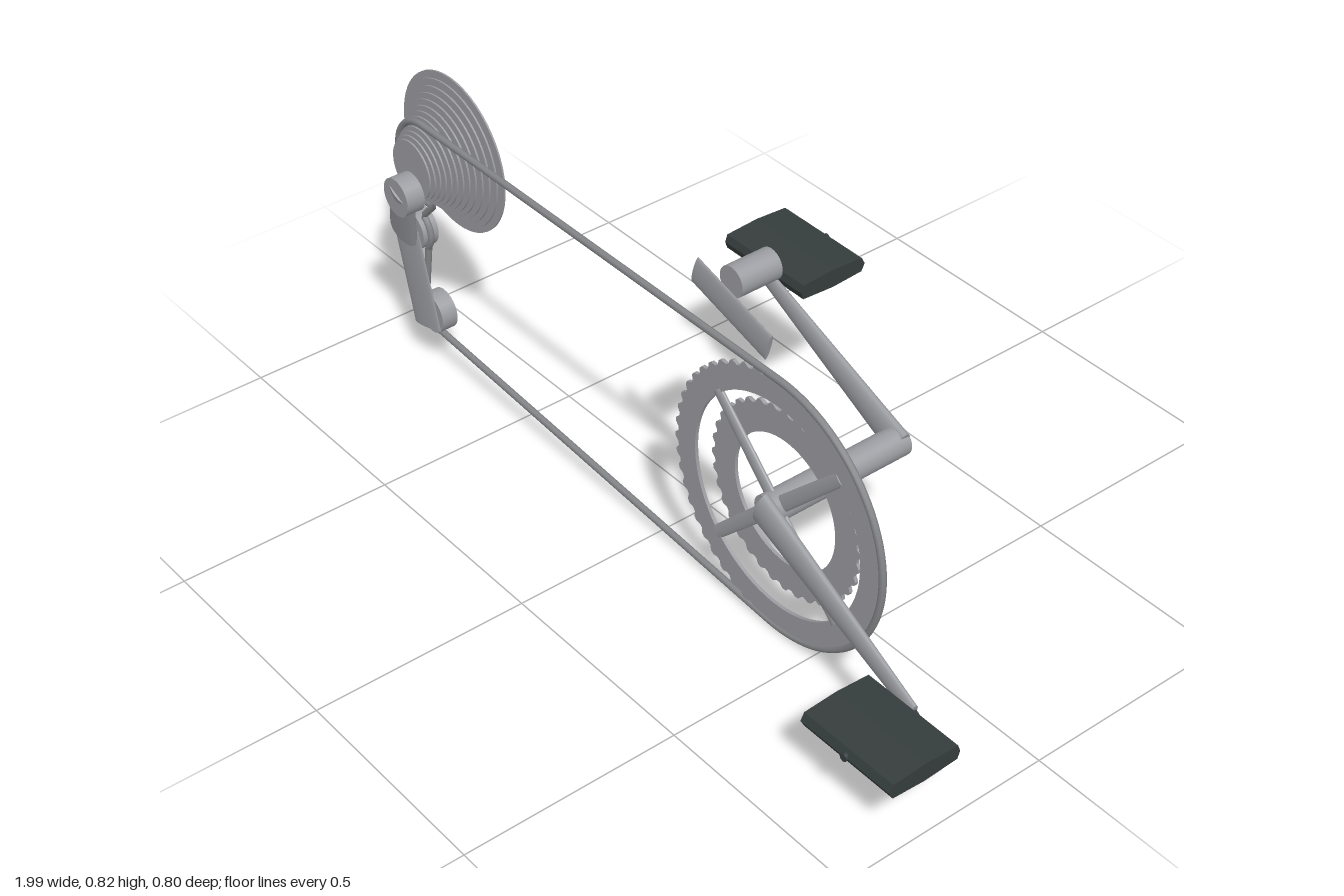
import * as THREE from 'three';

const steel = new THREE.MeshStandardMaterial({ name: 'steel grey', color: 0x9b9ca1 });
const chainGrey = new THREE.MeshStandardMaterial({ name: 'chain grey', color: 0x858689 });
const rubber = new THREE.MeshStandardMaterial({ name: 'pedal dark', color: 0x353d3c });

const V = (x, y, z) => new THREE.Vector3(x, y, z);
const RING = { x: 0.385, y: 0.32 };
const COG = { x: -0.805, y: 0.53 };
const CHAIN_Z = 0.145;

function add(parent, name, geometry, material) {
  const mesh = new THREE.Mesh(geometry, material);
  mesh.name = name;
  parent.add(mesh);
  return mesh;
}

// Tapered bar with an oval section from a to b; depth is its thickness ratio
function bar(parent, name, a, b, ra, rb, depth, material = steel) {
  const dir = b.clone().sub(a);
  const geo = new THREE.CylinderGeometry(rb, ra, dir.length(), 24);
  geo.scale(1, 1, depth);
  dir.normalize();
  const side = V(dir.y, -dir.x, 0).normalize();
  const m = new THREE.Matrix4().makeBasis(side, dir, side.clone().cross(dir));
  m.setPosition(a.clone().add(b).multiplyScalar(0.5));
  return add(parent, name, geo.applyMatrix4(m), material);
}

// Round part whose axis runs along z
function disc(parent, name, x, y, z0, z1, r, segments = 40) {
  const geo = new THREE.CylinderGeometry(r, r, z1 - z0, segments);
  geo.rotateX(Math.PI / 2).translate(x, y, (z0 + z1) / 2);
  return add(parent, name, geo, steel);
}

// Toothed ring with an open centre
function chainring(parent, name, z, outer, inner, teeth) {
  const shape = new THREE.Shape();
  const n = teeth * 4;
  for (let i = 0; i < n; i++) {
    const a = (i / n) * Math.PI * 2;
    const r = i % 4 < 2 ? outer : outer - 0.009;
    shape[i ? 'lineTo' : 'moveTo'](Math.cos(a) * r, Math.sin(a) * r);
  }
  shape.closePath();
  shape.holes.push(new THREE.Path().absarc(0, 0, inner, 0, Math.PI * 2, true));
  const geo = new THREE.ExtrudeGeometry(shape, { depth: 0.008, bevelEnabled: false, curveSegments: 48 });
  geo.translate(RING.x, RING.y, z - 0.004);
  add(parent, name, geo, steel);
}

// Chain loop: arcs around the wheels joined by straight runs
function chain(parent) {
  const pts = [];
  const arc = (x, y, r, from, to, n) => {
    for (let i = 0; i <= n; i++) {
      const a = THREE.MathUtils.degToRad(from + ((to - from) * i) / n);
      pts.push(V(x + Math.cos(a) * r, y + Math.sin(a) * r, CHAIN_Z));
    }
  };
  arc(RING.x, RING.y, 0.31, -94, 90, 48);
  arc(COG.x, COG.y, 0.1, 90, 285, 24);
  arc(-0.85, 0.342, 0.05, 60, -40, 10);
  arc(-0.795, 0.143, 0.05, 140, 266, 12);
  const path = new THREE.CurvePath();
  pts.forEach((p, i) => path.add(new THREE.LineCurve3(p, pts[(i + 1) % pts.length])));
  add(parent, 'chain', new THREE.TubeGeometry(path, 360, 0.008, 8, true), chainGrey);
}

// Pedal: a flat pad, thicker in the middle, with wedge ends
function pedal(parent, name, x, y, z) {
  const shape = new THREE.Shape([
    [-0.088, 0], [-0.082, 0.017], [0, 0.022], [0.08, 0.017], [0.089, 0],
    [0.08, -0.017], [0, -0.022], [-0.082, -0.017],
  ].map(([u, v]) => new THREE.Vector2(u, v)));
  const geo = new THREE.ExtrudeGeometry(shape, { depth: 0.248, bevelEnabled: false });
  geo.translate(0, 0, -0.124).rotateY(z > 0 ? -Math.PI / 2 : Math.PI / 2).translate(x, y, z);
  add(parent, name, geo, rubber);
  const tip = new THREE.CylinderGeometry(0.009, 0.009, 0.185, 12);
  tip.rotateX(Math.PI / 2).translate(x, y, z + Math.sign(z) * 0.0);
  add(parent, name + 'Spindle', tip, rubber);
}

export function createModel() {
  const model = new THREE.Group();
  model.name = 'drivetrain';

  // Cassette: a stack of shrinking sprockets
  const cassette = new THREE.Group();
  cassette.name = 'cassette';
  model.add(cassette);
  for (let i = 0; i < 13; i++) {
    const z = 0.067 + i * 0.0093;
    disc(cassette, 'sprocket', COG.x, COG.y, z - 0.002, z + 0.002, 0.19 * Math.pow(0.92, i), 48);
  }

  // Chainrings and the four-armed spider
  const crankset = new THREE.Group();
  crankset.name = 'crankset';
  model.add(crankset);
  chainring(crankset, 'largeChainring', CHAIN_Z, 0.313, 0.25, 50);
  chainring(crankset, 'smallChainring', 0.122, 0.224, 0.152, 36);
  for (let i = 0; i < 4; i++) {
    const a = Math.PI / 4 + (i * Math.PI) / 2;
    bar(crankset, 'spiderArm', V(RING.x, RING.y, CHAIN_Z),
      V(RING.x + Math.cos(a) * 0.258, RING.y + Math.sin(a) * 0.258, CHAIN_Z), 0.018, 0.015, 0.45);
  }
  disc(crankset, 'axle', RING.x - 0.003, RING.y, -0.188, 0.172, 0.034);

  // Crank arms and pedals, half a turn apart
  for (const s of [1, -1]) {
    const side = s > 0 ? 'front' : 'rear';
    const dz = s > 0 ? 0 : 0.002;
    bar(crankset, side + 'Crank', V(RING.x - s * 0.012, RING.y + s * 0.006, s * (0.175 + dz)),
      V(RING.x + s * 0.485, RING.y - s * 0.154, s * 0.218), 0.042, 0.02, 0.42);
    pedal(crankset, side + 'Pedal', 0.392 + s * 0.483, 0.32 - s * 0.157, s * 0.307);
  }

  chain(model);

  // Rear derailleur: mount, body, cage and two guide wheels
  const rear = new THREE.Group();
  rear.name = 'rearDerailleur';
  model.add(rear);
  disc(rear, 'mount', -0.79, 0.487, 0.19, 0.235, 0.046, 24);
  bar(rear, 'body', V(-0.785, 0.5, 0.222), V(-0.855, 0.345, 0.18), 0.043, 0.047, 0.42);
  bar(rear, 'cage', V(-0.852, 0.35, 0.175), V(-0.793, 0.113, 0.173), 0.05, 0.052, 0.12);
  disc(rear, 'upperGuideWheel', -0.85, 0.342, 0.123, 0.163, 0.048, 24);
  disc(rear, 'lowerGuideWheel', -0.795, 0.143, 0.123, 0.163, 0.048, 24);

  // Front derailleur: clamp barrel and tilted cage plate
  const front = new THREE.Group();
  front.name = 'frontDerailleur';
  model.add(front);
  disc(front, 'clampBarrel', 0.245, 0.784, 0.048, 0.148, 0.034, 24);
  bar(front, 'cagePlate', V(0.157, 0.774, 0.165), V(0.377, 0.711, 0.165), 0.034, 0.034, 0.17);

  return model;
}
